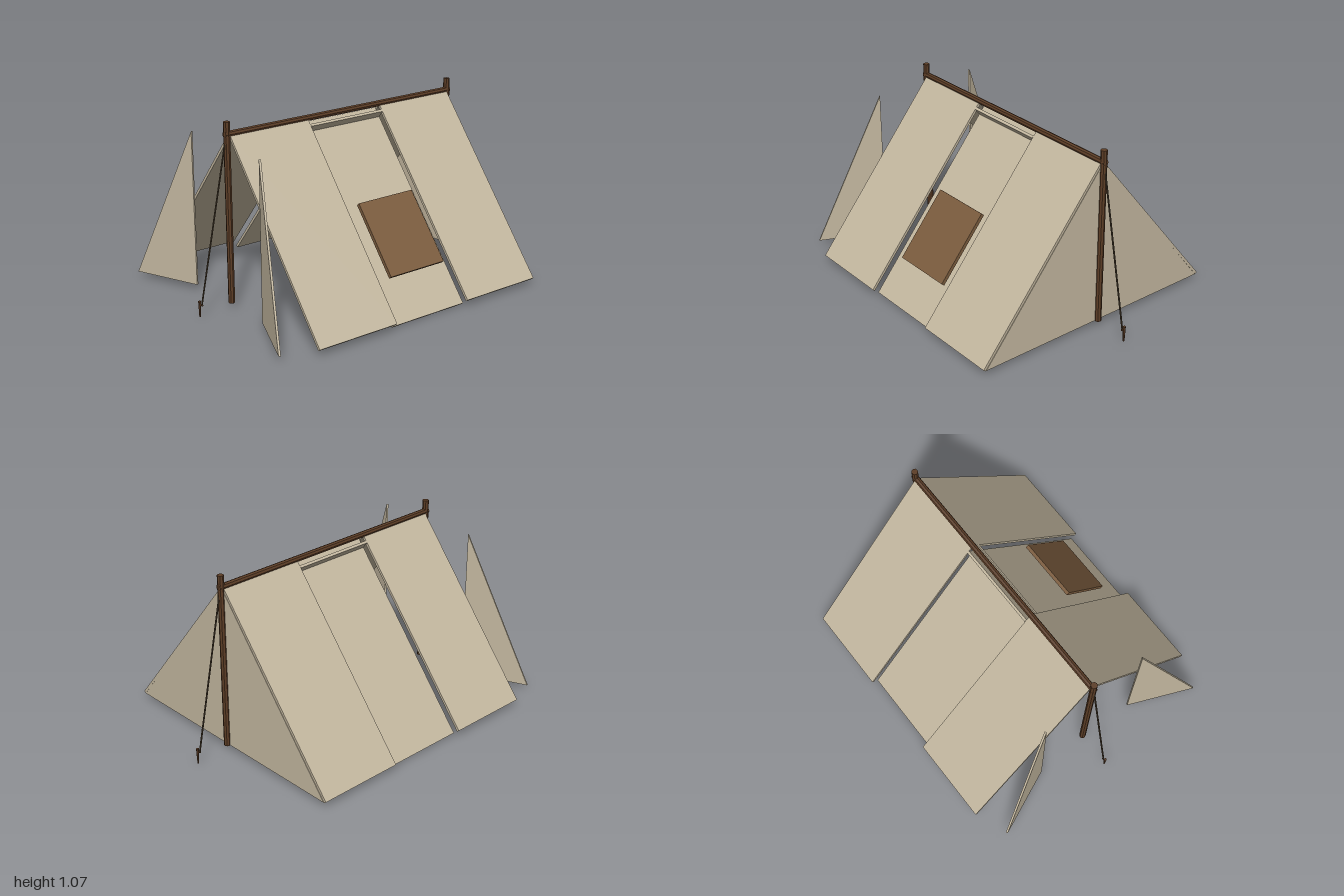
import * as THREE from 'three';

const mat = (color) => new THREE.MeshStandardMaterial({ color, flatShading: true });

export function createModel() {
  const tent = new THREE.Group();
  tent.name = 'tent';
  const canvas = mat(0xc4b8a0);
  const wood = mat(0x5c3d26);
  const patchCloth = mat(0x7b5c3e);
  const cord = mat(0x4a3d2c);

  const add = (name, geometry, material, x = 0, y = 0, z = 0) => {
    const mesh = new THREE.Mesh(geometry, material);
    mesh.name = name;
    mesh.position.set(x, y, z);
    tent.add(mesh);
    return mesh;
  };

  // Round stick between two points
  const stick = (name, a, b, r0, r1, sides, material) => {
    const from = new THREE.Vector3(...a), to = new THREE.Vector3(...b);
    const dir = to.clone().sub(from);
    const mesh = add(name, new THREE.CylinderGeometry(r1, r0, dir.length(), sides), material);
    mesh.position.copy(from).add(to).multiplyScalar(0.5);
    mesh.quaternion.setFromUnitVectors(new THREE.Vector3(0, 1, 0), dir.normalize());
    return mesh;
  };

  // Thin cloth triangle, centred on its own thickness
  const clothTriangle = (points, depth) => {
    const shape = new THREE.Shape(points.map((p) => new THREE.Vector2(...p)));
    const geometry = new THREE.ExtrudeGeometry(shape, { depth, bevelEnabled: false });
    return geometry.translate(0, 0, -depth / 2);
  };

  // Roof slope from the eave up to the ridge
  const eave = new THREE.Vector2(0.79, 0.033), ridge = new THREE.Vector2(0, 0.995);
  const slopeLength = eave.distanceTo(ridge);
  const angle = Math.atan2(ridge.y - eave.y, eave.x - ridge.x);
  const normal = new THREE.Vector2(Math.sin(angle), Math.cos(angle));
  const middle = eave.clone().add(ridge).multiplyScalar(0.5);

  // Roof panels: the middle strip hangs lower and crosses at the ridge
  const strips = [
    ['frontRoofPanel', 0.513, 0.515, 0],
    ['middleRoofPanel', 0, 0.51, -0.046],
    ['backRoofPanel', -0.515, 0.52, 0],
  ];
  for (const side of [1, -1]) {
    for (const [name, z, width, drop] of strips) {
      const panel = add(name, new THREE.BoxGeometry(slopeLength, 0.016, width), canvas,
        side * (middle.x + normal.x * drop), middle.y + normal.y * drop, z);
      panel.rotation.z = -side * angle;
    }
  }

  // Repair patch on the left slope
  const patch = add('patch', new THREE.BoxGeometry(0.445, 0.022, 0.38), patchCloth, 0.4925, 0.4, -0.018);
  patch.rotation.z = -angle;

  // Closed back wall
  add('backWall', clothTriangle([[-0.78, 0.03], [0.78, 0.03], [0, 0.985]], 0.012), canvas, 0, 0, -0.771);

  // Open door flaps, swung outward
  const swing = Math.atan2(0.165, 0.385);
  const flapWidth = Math.hypot(0.165, 0.385);
  for (const side of [1, -1]) {
    const points = [[0, 0.03], [side * flapWidth, 0.03], [0, 0.945]];
    const flap = add('doorFlap', clothTriangle(points, 0.012), canvas, side * 0.332, 0, 0.8);
    flap.rotation.y = -side * swing;
  }

  // Ridge pole, uprights, guy ropes and pegs
  stick('ridgePole', [0, 1, -0.8], [0, 1, 0.8], 0.018, 0.018, 8, wood);
  for (const end of [1, -1]) {
    stick('uprightPole', [0, 0.03, end * 0.784], [0, 1.07, end * 0.784], 0.019, 0.019, 8, wood);
    stick('guyRope', [0, 0.99, end * 0.79], [0, 0.06, end * 0.978], 0.005, 0.005, 6, cord);
    stick('peg', [0, 0, end * 0.991], [0, 0.092, end * 0.991], 0.005, 0.009, 6, wood);
    stick('pegHook', [0, 0.06, end * 0.972], [0, 0.075, end * 0.993], 0.005, 0.005, 6, wood);
  }

  return tent;
}
